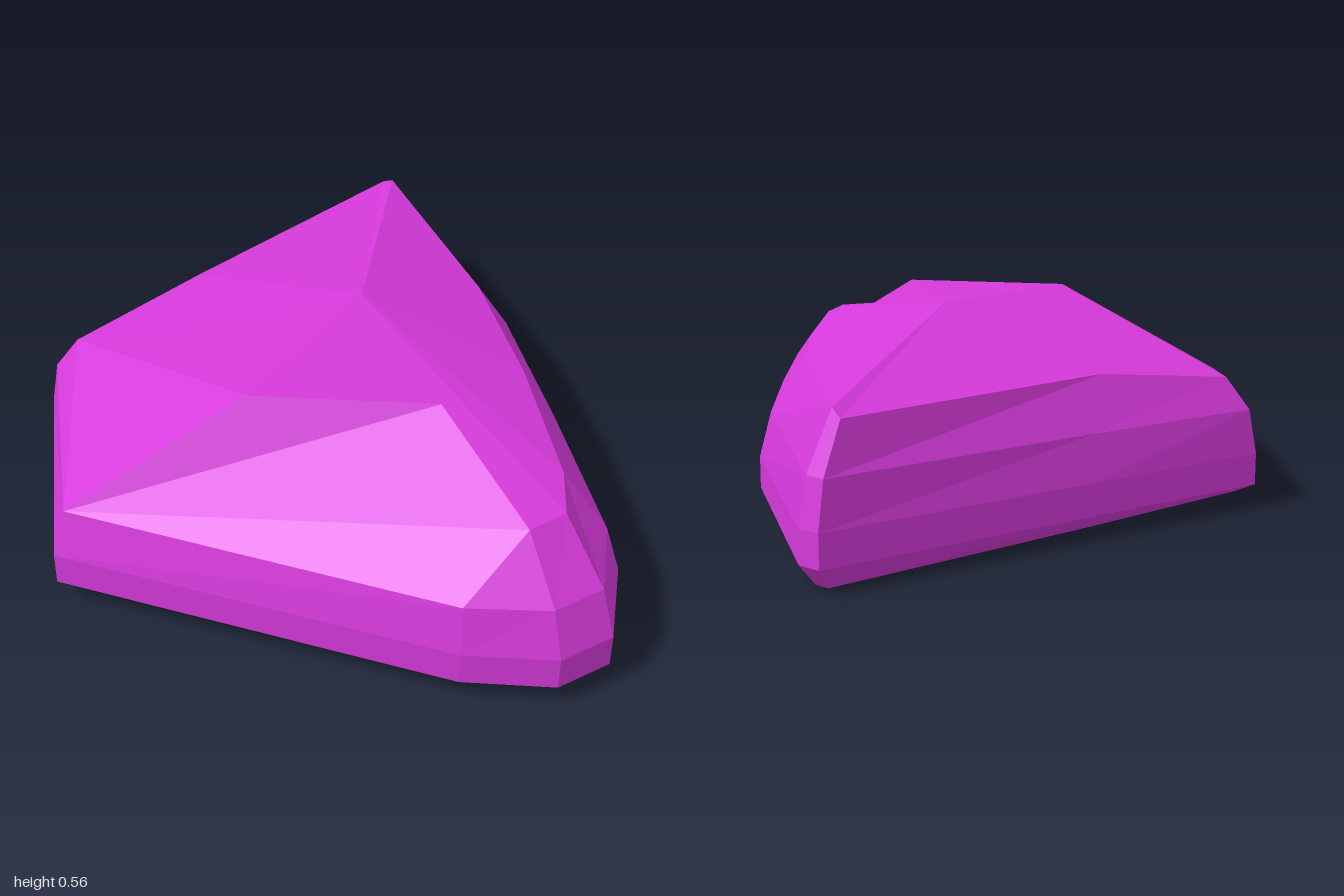
import * as THREE from 'three';

// One column per corner of the outline, anticlockwise from above.
// side: widest x, z   top: upper rim x, y, z   base: underside x, y, z
const columns = [
  { side: [-0.8, 0.04], top: [-0.71, 0.37, 0.04], base: [-0.74, 0.035, 0.06] },
  { side: [-0.65, 0.72], top: [-0.62, 0.28, 0.69], base: [-0.61, 0.035, 0.68] },
  { side: [0.4, 1.0], top: [0.4, 0.28, 0.97], base: [0.39, 0.035, 0.96] },
  { side: [0.64, 1.0], top: [0.55, 0.43, 0.85], base: [0.62, 0.035, 0.96] },
  { side: [0.77, 0.91], top: [0.64, 0.43, 0.78], base: [0.7, 0.035, 0.88] },
  { side: [0.8, 0.66], top: [0.64, 0.43, 0.62], base: [0.71, 0.035, 0.65] },
  // doubled corner makes the step in the lower edge
  { side: [0.675, 0.17], top: [0.55, 0.43, 0.18], base: [0.64, 0.035, 0.17] },
  { side: [0.675, 0.17], top: [0.55, 0.43, 0.18], base: [0.64, 0, 0.17] },
  { side: [0.55, -0.3], top: [0.43, 0.43, -0.24], base: [0.52, 0, -0.28] },
  { side: [0.21, -0.97], top: [0.15, 0.43, -0.88], base: [0.19, 0, -0.91] },
  { side: [0.15, -1.0], top: [0.12, 0.41, -0.91], base: [0.15, 0, -0.93] },
  { side: [-0.4, -0.4], top: [-0.4, 0.42, -0.26], base: [-0.37, 0.02, -0.36] },
];
const count = columns.length;

// Draw a point horizontally towards the middle, at a new height
const inset = ([x, , z], k, y) => [0.02 + (x - 0.02) * k, y, 0.1 + (z - 0.1) * k];

function makeMesh(name, triangles, material) {
  const geometry = new THREE.BufferGeometry();
  geometry.setAttribute('position', new THREE.Float32BufferAttribute(triangles.flat(2), 3));
  geometry.computeVertexNormals();
  const mesh = new THREE.Mesh(geometry, material);
  mesh.name = name;
  return mesh;
}

// Triangles between consecutive rings, dropping collapsed ones
function loft(rings) {
  const triangles = [];
  const same = (p, q) => p.every((v, i) => Math.abs(v - q[i]) < 1e-6);
  const add = (a, b, c) => {
    if (!same(a, b) && !same(b, c) && !same(a, c)) triangles.push([a, b, c]);
  };
  for (let r = 0; r + 1 < rings.length; r++) {
    for (let i = 0; i < count; i++) {
      const j = (i + 1) % count;
      add(rings[r][i], rings[r][j], rings[r + 1][j]);
      add(rings[r][i], rings[r + 1][j], rings[r + 1][i]);
    }
  }
  return triangles;
}

export function createModel() {
  const group = new THREE.Group();
  group.name = 'rock';
  const material = new THREE.MeshStandardMaterial({ color: 0xd63adb, flatShading: true });

  const ringAt = (y) => columns.map(({ side }) => [side[0], y, side[1]]);
  const top = columns.map((c) => c.top);
  const base = columns.map((c) => c.base);
  const shoulder = columns.map(({ side, top: t }) =>
    t[1] <= 0.28 ? t : [side[0] + (t[0] - side[0]) * 0.25, 0.28, side[1] + (t[2] - side[1]) * 0.25]);
  const lip = base.map((p) => inset(p, 0.91, p[1]));
  const ceiling = top.map((p, i) => inset(base[i], 0.87, Math.max(0.25, p[1] - 0.11)));

  // Outer walls and narrow lower lip, then the walls of the hollow
  group.add(makeMesh('outerWall', loft([lip, base, ringAt(0.065), ringAt(0.155), shoulder, top]), material));
  group.add(makeMesh('hollowWall', loft([ceiling, lip]), material));

  // Faceted crown with three peaks and a sharp notch on the front right
  const left = [-0.16, 0.555, 0.53];
  const right = [0.33, 0.555, 0.53];
  const back = [0.1, 0.555, 0.03];
  const crown = [
    [top[0], top[1], left],
    [top[1], right, left],
    [top[1], top[3], right],
    [top[1], top[2], top[3]],
    [back, right, top[3]],
    [back, left, right],
    [back, top[0], left],
  ];
  for (let i = 3; i < count; i++) {
    if (i !== 6) crown.push([back, top[i], top[(i + 1) % count]]);
  }
  group.add(makeMesh('crown', crown, material));

  // Folded ceiling of the hollow: a low front shelf and a deep back part
  const fold = [-0.1, 0.45, 0.36];
  const roof = [
    [ceiling[0], ceiling[2], ceiling[1]],
    [ceiling[0], fold, ceiling[2]],
  ];
  for (let i = 2; i < count; i++) {
    if (i !== 6) roof.push([fold, ceiling[(i + 1) % count], ceiling[i]]);
  }
  group.add(makeMesh('hollowCeiling', roof, material));

  return group;
}
